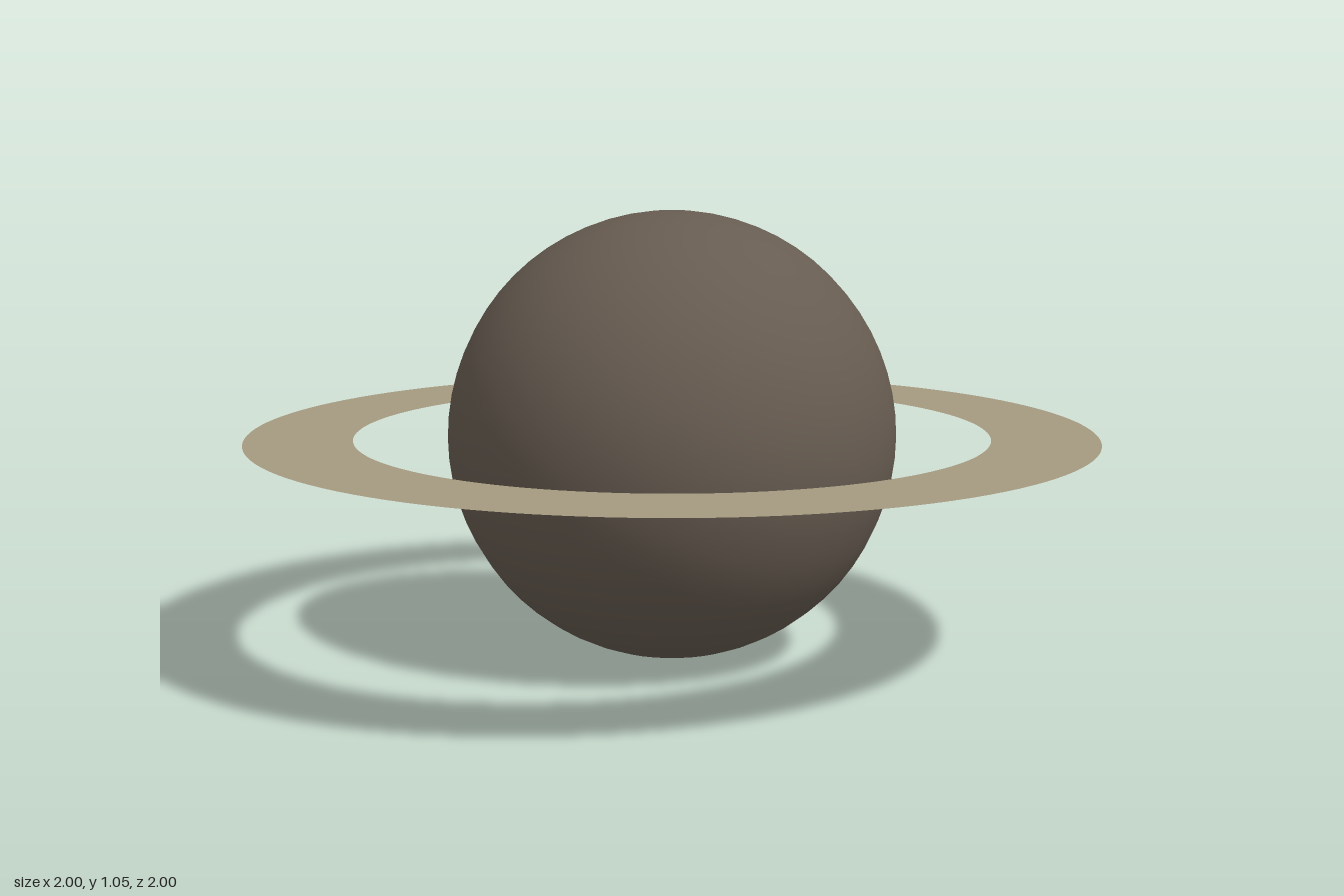
import * as THREE from 'three';

export function createModel() {
  const radius = 0.527;
  const group = new THREE.Group();
  group.name = 'ringedPlanet';

  const planetBrown = new THREE.MeshStandardMaterial({ color: 0x675c51 });
  planetBrown.name = 'planet brown';
  const ringSand = new THREE.MeshStandardMaterial({ color: 0xa5997f, side: THREE.DoubleSide });
  ringSand.name = 'ring sand';

  // Smooth globe resting on the ground
  const planet = new THREE.Mesh(new THREE.SphereGeometry(radius, 32, 32), planetBrown);
  planet.name = 'planet';
  planet.position.y = radius;
  group.add(planet);

  // Paper-thin flat ring around the equator
  const ring = new THREE.Mesh(new THREE.RingGeometry(0.747, 1, 128, 1), ringSand);
  ring.name = 'ring';
  ring.rotation.x = -Math.PI / 2;
  ring.position.y = radius;
  group.add(ring);

  return group;
}
